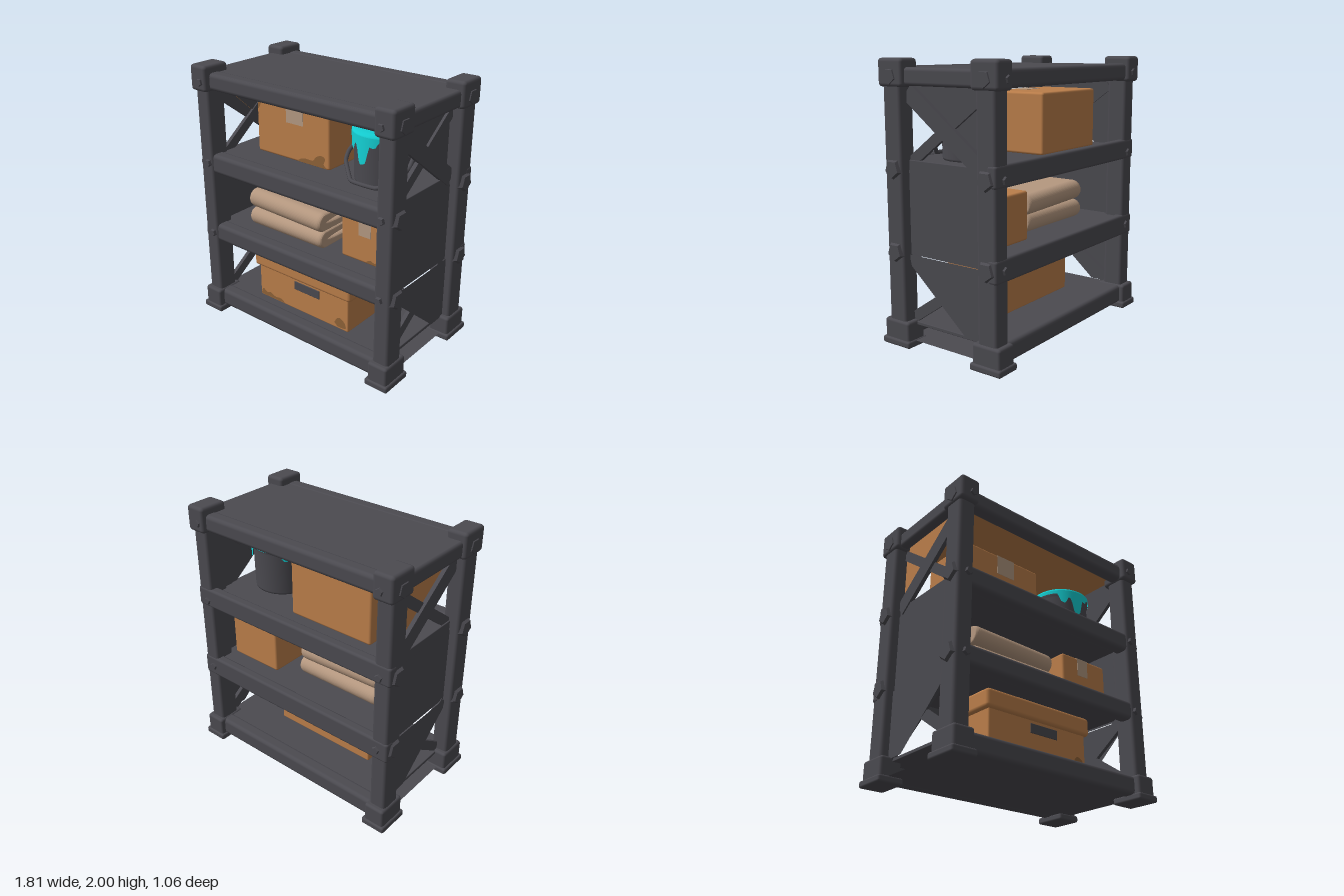
import * as THREE from 'three';
import { RoundedBoxGeometry } from 'three/addons/geometries/RoundedBoxGeometry.js';

const paint = (name, color, side = THREE.FrontSide) => {
  const m = new THREE.MeshStandardMaterial({ color, side });
  m.name = name;
  return m;
};

export function createModel() {
  const root = new THREE.Group();
  root.name = 'storageRack';
  const metal = paint('dark metal', 0x4b4a50, THREE.DoubleSide);
  const card = paint('cardboard', 0xbb7e4a, THREE.DoubleSide);
  const stain = paint('cardboard stain', 0x8f6238, THREE.DoubleSide);
  const tape = paint('packing tape', 0xb59a82);
  const cloth = paint('cloth', 0xb4977f);
  const wet = paint('turquoise paint', 0x14d2d6, THREE.DoubleSide);

  const add = (name, geo, mat, x = 0, y = 0, z = 0, parent = root) => {
    const m = new THREE.Mesh(geo, mat);
    m.name = name;
    m.position.set(x, y, z);
    parent.add(m);
    return m;
  };
  // Softened block given by its limits on each axis
  const block = (name, mat, [x0, x1], [y0, y1], [z0, z1], r = 0.02) =>
    add(name, new RoundedBoxGeometry(x1 - x0, y1 - y0, z1 - z0, 2, r), mat,
      (x0 + x1) / 2, (y0 + y1) / 2, (z0 + z1) / 2);
  // Thin sheet in a side plane, given by [z, y] corners
  const sideSheet = (name, mat, x, pts) => {
    const g = new THREE.ShapeGeometry(new THREE.Shape(pts.map(([z, y]) => new THREE.Vector2(-z, y))));
    add(name, g.rotateY(Math.PI / 2), mat, x);
  };
  // Level sheet
  const levelSheet = (name, mat, w, d, y) =>
    add(name, new THREE.PlaneGeometry(w, d).rotateX(-Math.PI / 2), mat, 0, y, 0);
  // Five-sided bolt head, facing along z or x
  const bolt = (x, y, z, r, axis) => {
    const g = new THREE.CylinderGeometry(r * 0.75, r, 0.03, 5).toNonIndexed();
    g.computeVertexNormals();
    const m = add('bolt', g, metal, x, y, z);
    if (axis === 'z') m.rotation.x = Math.sign(z) * Math.PI / 2;
    else m.rotation.set(0, Math.sign(x) * Math.PI / 2, 0), m.rotateX(Math.PI / 2);
  };

  // Corner posts with feet, caps and bolts
  for (const sx of [-1, 1]) for (const sz of [-1, 1]) {
    const x = sx * 0.81, z = sz * 0.4;
    const span = (c, h) => [c - h, c + h];
    block('post', metal, span(x, 0.065), [0.05, 1.95], span(z, 0.08), 0.025);
    block('foot', metal, span(x, 0.08), [0.02, 0.185], span(z, 0.115), 0.02);
    block('footBase', metal, span(x, 0.095), [0, 0.05], span(z, 0.128), 0.015);
    block('postCap', metal, span(x, 0.078), [1.81, 2], span(z, 0.112), 0.025);
    for (const [y, r] of [[1.88, 0.07], [1.26, 0.08], [0.68, 0.08]]) {
      bolt(x + sx * 0.07, y, z, r, 'x');
      bolt(x - sx * 0.02, y, sz * (y > 1.5 ? 0.51 : 0.485), 0.034, 'z');
    }
  }

  // Front and back beams; the middle back ones lap over the posts
  for (const [y0, y1] of [[1.82, 1.945], [1.18, 1.33], [0.615, 0.755], [0.04, 0.18]])
    block('frontBeam', metal, [-0.78, 0.78], [y0, y1], [0.36, 0.47], 0.03);
  for (const [y0, y1] of [[1.82, 1.945], [0.04, 0.18]])
    block('backBeam', metal, [-0.78, 0.78], [y0, y1], [-0.48, -0.37], 0.03);
  for (const [y0, y1] of [[1.21, 1.36], [0.6, 0.76]])
    block('backBeam', metal, [-0.88, 0.88], [y0, y1], [-0.485, -0.41], 0.02);

  // Shelves, closed underside and top sheet with its lining
  for (const [y0, y1] of [[0.15, 0.175], [0.67, 0.75], [1.24, 1.32]])
    block('shelf', metal, [-0.8, 0.8], [y0, y1], [-0.44, 0.44], 0.005);
  levelSheet('underside', metal, 1.66, 0.9, 0.045);
  levelSheet('topPanel', metal, 1.68, 0.92, 1.94);
  levelSheet('topLining', card, 1.58, 0.84, 1.87);

  // Side rails, cross braces and side sheets
  for (const s of [-1, 1]) {
    block('sideRail', metal, [s * 0.82 - 0.04, s * 0.82 + 0.04], [1.82, 1.94], [-0.33, 0.33], 0.025);
    for (const [y0, y1, w] of [[0.2, 0.64, 0.09], [1.3, 1.78, 0.12]]) for (const d of [-1, 1]) {
      const b = add('crossBrace', new THREE.BoxGeometry(0.03, d < 0 ? 0.075 : w, Math.hypot(0.64, y1 - y0)), metal,
        s * (d < 0 ? 0.775 : 0.795), (y0 + y1) / 2, 0);
      b.rotation.x = -d * Math.atan2(y1 - y0, 0.64);
    }
    sideSheet('middleSideSheet', metal, s * 0.805, [[0.33, 0.66], [-0.33, 0.66], [-0.33, 1.25], [0.33, 1.25]]);
    sideSheet('lowerSideSheet', metal, s * 0.815, [[0.33, 0.66], [0.31, 0.58], [-0.17, 0.17], [-0.33, 0.17], [-0.33, 0.66]]);
    sideSheet('upperSideSheet', metal, s * 0.77, [[0.33, 1.84], [-0.33, 1.25], [-0.33, 1.84]]);
  }
  sideSheet('upperSideLining', card, -0.777, [[0.33, 1.84], [-0.33, 1.25], [-0.33, 1.84]]);

  // Irregular stain on a front face
  const blot = (pts, z) => {
    const c = new THREE.SplineCurve(pts.map(p => new THREE.Vector2(...p)));
    add('stain', new THREE.ShapeGeometry(new THREE.Shape(c.getPoints(24))), stain, 0, 0, z);
  };
  // Cardboard boxes with a strip of tape folded over the front edge
  const carton = (name, xr, yr, zr, t0, t1, drop) => {
    block(name, card, xr, yr, zr, 0.018);
    const w = t1 - t0, cx = (t0 + t1) / 2;
    add('tapeFront', new THREE.BoxGeometry(w, drop, 0.006), tape, cx, yr[1] - drop / 2 - 0.005, zr[1]);
    add('tapeTop', new THREE.BoxGeometry(w, 0.006, 0.14), tape, cx, yr[1], zr[1] - 0.08);
  };
  carton('largeBox', [-0.58, 0.11], [1.32, 1.76], [-0.3, 0.16], -0.29, -0.13, 0.155);
  blot([[-0.19, 1.33], [-0.15, 1.355], [-0.1, 1.365], [-0.04, 1.365], [-0.01, 1.4], [0.04, 1.42], [0.075, 1.4],
    [0.06, 1.36], [0.09, 1.33]], 0.164);
  blot([[-0.565, 1.74], [-0.535, 1.73], [-0.54, 1.69], [-0.555, 1.66], [-0.565, 1.65]], 0.164);
  carton('smallBox', [0.285, 0.73], [0.75, 1.1], [-0.3, 0.24], 0.435, 0.54, 0.14);
  blot([[0.5, 0.765], [0.54, 0.79], [0.58, 0.78], [0.62, 0.81], [0.66, 0.8], [0.7, 0.765]], 0.244);

  // Lidded storage box with a hand slot
  block('storageBoxBody', card, [-0.47, 0.405], [0.17, 0.5], [-0.13, 0.31], 0.012);
  block('storageBoxLid', card, [-0.5, 0.435], [0.44, 0.575], [-0.15, 0.335], 0.025);
  block('handleSlot', metal, [-0.11, 0.135], [0.35, 0.42], [0.306, 0.315], 0.004);
  blot([[-0.46, 0.185], [-0.44, 0.235], [-0.4, 0.215], [-0.36, 0.225], [-0.31, 0.205], [-0.25, 0.21], [-0.21, 0.185]], 0.314);
  blot([[0.28, 0.22], [0.32, 0.27], [0.37, 0.25], [0.385, 0.2], [0.31, 0.19]], 0.314);

  // Two folded towels: rounded folds with a slit at each end
  const towel = (y, h, x, w) => {
    const r = h / 2 - 0.018, z0 = -0.19 + r, z1 = 0.28 - r;
    const s = new THREE.Shape();
    s.moveTo(-z1, -r);
    s.lineTo(-z0, -r);
    s.absarc(-z0, 0, r, -Math.PI / 2, Math.PI / 2, false);
    s.lineTo(-z1, r);
    s.absarc(-z1, 0, r, Math.PI / 2, Math.PI * 1.5, false);
    const slit = new THREE.Path();
    slit.absellipse(-0.05, 0, 0.18, 0.024, 0, Math.PI * 2, true);
    s.holes.push(slit);
    const g = new THREE.ExtrudeGeometry(s, { depth: w - 0.07, bevelSize: 0.018, bevelThickness: 0.035, bevelSegments: 4, curveSegments: 12 });
    g.translate(0, 0, -(w - 0.07) / 2).rotateY(Math.PI / 2);
    return add('foldedTowel', g, cloth, x, y, 0);
  };
  towel(0.818, 0.14, -0.215, 0.71);
  towel(0.955, 0.15, -0.222, 0.7).rotation.z = -0.03;

  // Paint bucket
  const bucket = new THREE.Group();
  bucket.name = 'paintBucket';
  bucket.position.set(0.485, 1.32, 0.02);
  root.add(bucket);
  const wall = [[0, 0], [0.205, 0], [0.21, 0.015], [0.215, 0.31], [0.225, 0.32], [0.225, 0.36], [0.205, 0.36], [0.2, 0.34]];
  add('bucketWall', new THREE.LatheGeometry(wall.map(q => new THREE.Vector2(...q)), 32), metal, 0, 0, 0, bucket);
  const lid = [[0, 0.37], [0.16, 0.372], [0.21, 0.383], [0.229, 0.37], [0.229, 0.345]];
  add('paintTop', new THREE.LatheGeometry(lid.map(q => new THREE.Vector2(...q)), 48), wet, 0, 0, 0, bucket);

  // Paint running down the wall: lower edge follows the drips
  const drips = [[-0.11, 0.165, 0.2], [-0.65, 0.075, 0.14], [-0.4, 0.035, 0.2], [0.25, 0.04, 0.12], [2.5, 0.09, 0.16], [-2.3, 0.06, 0.15]];
  const run = new THREE.CylinderGeometry(0.23, 0.23, 1, 96, 1, true);
  const rp = run.attributes.position;
  for (let i = 0; i < rp.count; i++) {
    const a = Math.atan2(rp.getX(i), rp.getZ(i));
    const fall = drips.reduce((f, [c, d, w]) => f + d * Math.exp(-Math.pow((a - c) / w, 4)), 0.012);
    rp.setY(i, rp.getY(i) > 0 ? 0.36 : 0.345 - fall);
  }
  run.computeVertexNormals();
  add('paintDrips', run, wet, 0, 0, 0, bucket);

  // Angular handle hanging in front, with its pivots
  const path = [[-0.235, 0.235, 0], [-0.25, 0.17, 0.08], [-0.23, 0.12, 0.14], [-0.11, 0.035, 0.24], [0, 0.033, 0.25],
    [0.11, 0.035, 0.24], [0.23, 0.12, 0.14], [0.25, 0.17, 0.08], [0.235, 0.235, 0]];
  const curve = new THREE.CatmullRomCurve3(path.map(q => new THREE.Vector3(...q)), false, 'catmullrom', 0.15);
  add('bucketHandle', new THREE.TubeGeometry(curve, 48, 0.015, 8), metal, 0, 0, 0, bucket);
  for (const s of [-1, 1])
    add('handlePivot', new THREE.CylinderGeometry(0.04, 0.04, 0.04, 12).rotateZ(Math.PI / 2), metal, s * 0.22, 0.235, 0, bucket);

  return root;
}
